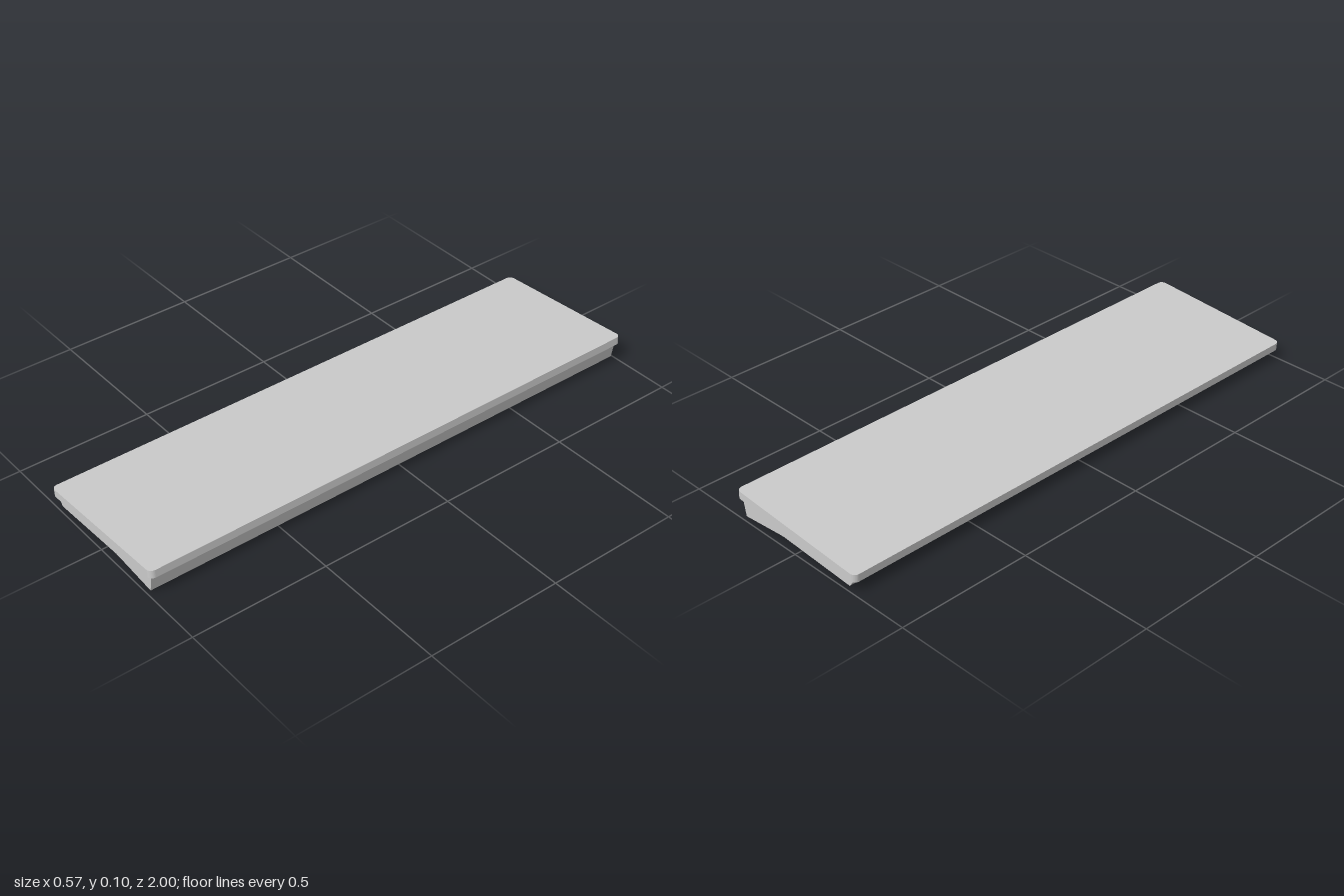
import * as THREE from 'three';

const material = new THREE.MeshStandardMaterial({ color: 0xcccccc });

function addPart(group, name, geometry) {
  const mesh = new THREE.Mesh(geometry, material);
  mesh.name = name;
  group.add(mesh);
  return mesh;
}

// Flat rectangle outline with rounded corners, centred on the origin
function roundedRect(w, h, r) {
  const s = new THREE.Shape();
  const x = w / 2 - r, y = h / 2 - r;
  s.absarc(x, y, r, 0, Math.PI / 2);
  s.absarc(-x, y, r, Math.PI / 2, Math.PI);
  s.absarc(-x, -y, r, Math.PI, Math.PI * 1.5);
  s.absarc(x, -y, r, Math.PI * 1.5, Math.PI * 2);
  s.closePath();
  return s;
}

export function createModel() {
  const model = new THREE.Group();
  model.name = 'slopedSlab';

  // Tilted top plate with rounded corners
  const thickness = 0.029;
  const plateGeometry = new THREE.ExtrudeGeometry(roundedRect(0.573, 2, 0.02), {
    depth: thickness, bevelEnabled: false, curveSegments: 8,
  });
  plateGeometry.translate(0, 0, -thickness / 2).rotateX(-Math.PI / 2);
  const plate = addPart(model, 'topPlate', plateGeometry);
  plate.rotation.z = Math.atan2(0.035, 0.573);
  plate.position.y = 0.072;

  // Lower case: side profile with a shallow arch underneath, run along z
  const length = 1.976;
  const profile = new THREE.Shape([
    [-0.273, 0.042], [-0.248, 0.008], [0.04, 0.0235], [0.07, 0.025],
    [0.1, 0.0225], [0.26, 0.007], [0.272, 0.075],
  ].map(([x, y]) => new THREE.Vector2(x, y)));
  const caseGeometry = new THREE.ExtrudeGeometry(profile, { depth: length, bevelEnabled: false });
  caseGeometry.translate(0, 0, -length / 2);
  addPart(model, 'lowerCase', caseGeometry);

  // Four small domed feet
  const footGeometry = new THREE.SphereGeometry(0.009, 16, 10);
  for (const x of [-0.23, 0.243]) {
    for (const z of [-0.975, 0.975]) {
      addPart(model, 'foot', footGeometry).position.set(x, 0.009, z);
    }
  }
  return model;
}
